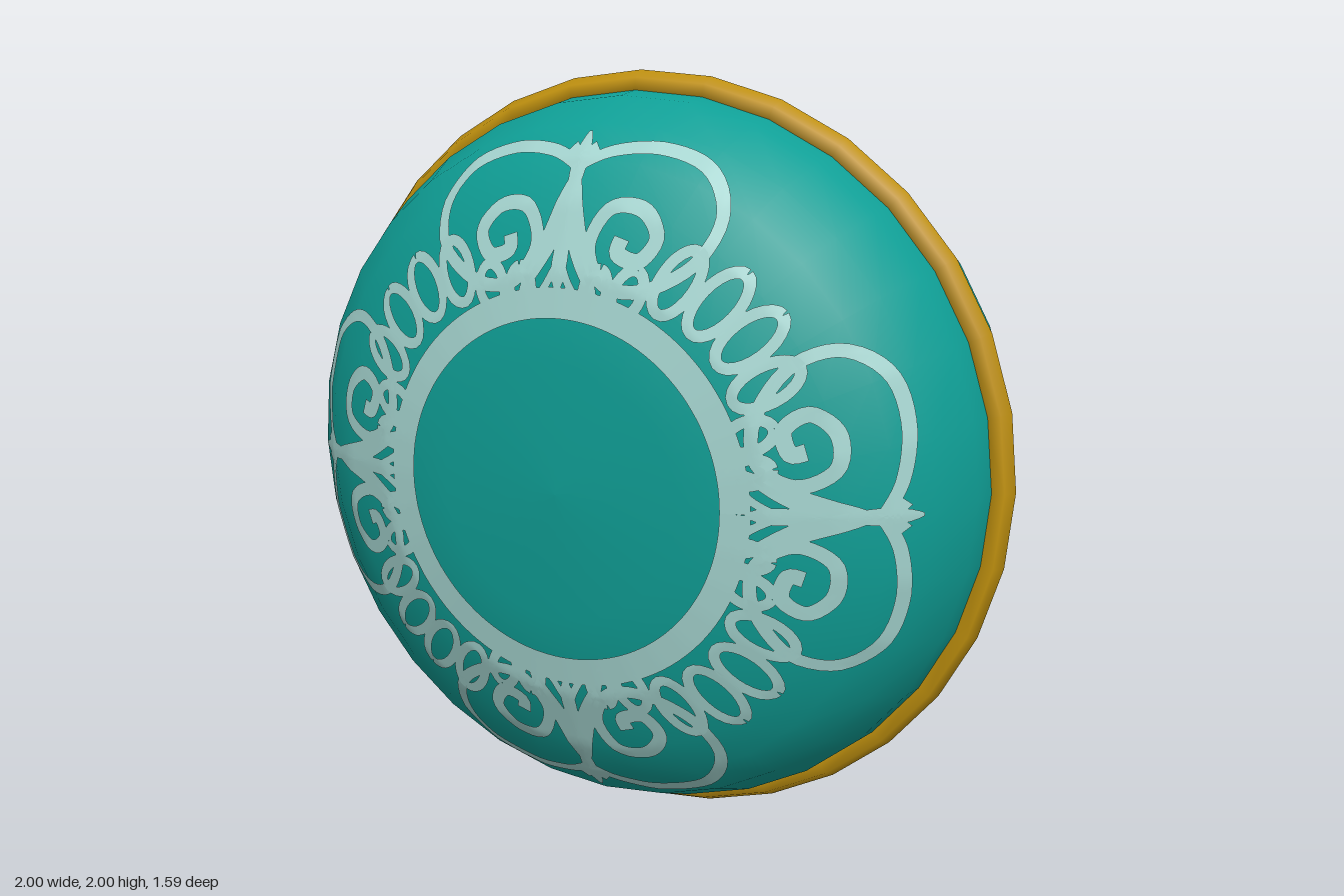
import * as THREE from 'three';
import { mergeGeometries, toCreasedNormals } from 'three/addons/utils/BufferGeometryUtils.js';

const SIDES = 32;
const STEP = (Math.PI * 2) / SIDES;
const rad = THREE.MathUtils.degToRad;

// body profile halves: [radius, z], from the axis out to the rim
const FRONT = [[0, 0.79], [0.32, 0.78], [0.53, 0.745], [0.69, 0.685], [0.79, 0.625], [0.87, 0.555], [0.935, 0.42], [0.955, 0.31]];
const BACK = [[0, -0.34], [0.32, -0.335], [0.5, -0.305], [0.64, -0.26], [0.75, -0.2], [0.84, -0.13], [0.92, 0], [0.945, 0.2], [0.955, 0.31]];

const material = (name, color) => {
  const m = new THREE.MeshStandardMaterial({ color });
  m.name = name;
  return m;
};

function addMesh(parent, name, geometry, mat) {
  const mesh = new THREE.Mesh(geometry, mat);
  mesh.name = name;
  parent.add(mesh);
  return mesh;
}

// height of the faceted body surface over a point
function surfaceZ(x, y, profile) {
  const a = Math.atan2(y, x) + Math.PI * 2;
  const r = (Math.hypot(x, y) * Math.cos((a % STEP) - STEP / 2)) / Math.cos(STEP / 2);
  let i = 1;
  while (i < profile.length - 1 && profile[i][0] < r) i++;
  const [r0, z0] = profile[i - 1], [r1, z1] = profile[i];
  return z0 + ((z1 - z0) * (r - r0)) / (r1 - r0);
}

// band following a flat curve, laid onto the body
function ribbon(points, width, profile, place, across = 3) {
  const lift = profile === FRONT ? 0.006 : -0.006;
  const pos = [], index = [], n = points.length;
  points.forEach((p, i) => {
    const a = points[Math.max(i - 1, 0)], b = points[Math.min(i + 1, n - 1)];
    const l = Math.hypot(b.x - a.x, b.y - a.y) || 1;
    const w = typeof width === 'function' ? width(i / (n - 1)) : width;
    for (let j = 0; j <= across; j++) {
      const s = w * (j / across - 0.5);
      const [x, y] = place(p.x - ((b.y - a.y) / l) * s, p.y + ((b.x - a.x) / l) * s);
      pos.push(x, y, surfaceZ(x, y, profile) + lift);
      if (i < n - 1 && j < across) {
        const k = i * (across + 1) + j, m = k + across + 1;
        index.push(k, m, k + 1, k + 1, m, m + 1);
      }
    }
  });
  const g = new THREE.BufferGeometry();
  g.setAttribute('position', new THREE.Float32BufferAttribute(pos, 3));
  g.setIndex(index);
  g.computeVertexNormals();
  return g;
}

const curve = (pts, n) => new THREE.SplineCurve(pts.map(([x, y]) => new THREE.Vector2(x, y))).getPoints(n);
const arc = (cx, cy, rx, ry, turn, n) =>
  new THREE.EllipseCurve(cx, cy, rx, ry, 0, Math.PI * 2, false, turn).getPoints(n);

// lace wreath: one half motif, mirrored and turned four times
function laceGeometry(profile) {
  const scroll = curve([[0, 0.77], [0.08, 0.805], [0.2, 0.81], [0.32, 0.765], [0.375, 0.665], [0.335, 0.56], [0.22, 0.495],
    [0.12, 0.505], [0.07, 0.59], [0.11, 0.675], [0.19, 0.675], [0.235, 0.615], [0.2, 0.56], [0.145, 0.575], [0.15, 0.61]], 72);
  const petal = curve([[0.005, 0.75], [0.03, 0.62], [0.1, 0.47]], 14);
  const vein = curve([[0, 0.56], [0.03, 0.5], [0.06, 0.46]], 8);
  const spike = curve([[0, 0.85], [0, 0.48]], 20);
  const finial = curve([[0, 0.785], [0.035, 0.815]], 5);
  // loops: degrees from the motif axis, radius, radial and tangential half sizes
  const loops = [[40, 0.615, 0.085, 0.045], [30, 0.595, 0.08, 0.042], [20.5, 0.52, 0.055, 0.035], [11.5, 0.5, 0.05, 0.03]]
    .map(([deg, r, a, b]) => {
      const t = rad(90 - deg);
      return arc(r * Math.cos(t), r * Math.sin(t), a, b, t, 24);
    });
  const parts = [ribbon(arc(0, 0, 0.458, 0.458, 0, 128), 0.072, profile, (x, y) => [x, y], 4)];
  for (let q = 0; q < 4; q++) {
    const c = Math.round(Math.cos(q * Math.PI / 2)), s = Math.round(Math.sin(q * Math.PI / 2));
    for (const m of [1, -1]) {
      const place = (x, y) => [c * m * x - s * y, s * m * x + c * y];
      const add = (pts, w) => parts.push(ribbon(pts, w, profile, place));
      add(scroll, t => 0.028 + 0.012 * t);
      add(petal, t => 0.012 + 0.04 * Math.sin(Math.PI * t));
      add(vein, 0.02);
      add(finial, 0.03);
      loops.forEach(l => add(l, 0.028));
      if (m === 1) add(spike, t => 0.008 + 0.034 * Math.abs(Math.sin(Math.PI * 2 * t)));
    }
  }
  return mergeGeometries(parts);
}

// one sixth of the crown: band section narrowing into a curved prong
function prongGeometry() {
  // radius, z, half angle in degrees
  const rows = [[0.278, -0.325, 30], [0.272, -0.4, 30], [0.282, -0.455, 30], [0.29, -0.47, 24], [0.305, -0.495, 18],
    [0.325, -0.54, 13], [0.375, -0.61, 9.5], [0.43, -0.67, 7], [0.495, -0.735, 5]];
  const K = 6, N = 2 * (K + 1), pos = [], index = [];
  rows.forEach(([r, z, half], i) => {
    for (let j = 0; j < N; j++) {
      const inner = j > K;
      const t = rad(half) * (((inner ? N - 1 - j : j) / K) * 2 - 1);
      // valleys between prongs flare outward
      const flare = i === 2 ? 0.028 * Math.pow(Math.abs(t) / rad(30), 2) : 0;
      const rr = r + flare - (inner ? 0.026 : 0);
      pos.push(rr * Math.cos(t), rr * Math.sin(t), z - (inner && i > 4 ? 0.012 : 0));
      if (i < rows.length - 1) {
        const a = i * N + j, b = i * N + ((j + 1) % N);
        index.push(a, a + N, b, b, a + N, b + N);
      }
    }
  });
  const end = (rows.length - 1) * N;
  for (let j = 1; j < N - 1; j++) index.push(end, end + j + 1, end + j);
  const g = new THREE.BufferGeometry();
  g.setAttribute('position', new THREE.Float32BufferAttribute(pos, 3));
  g.setIndex(index);
  return toCreasedNormals(g, 0.6);
}

export function createModel() {
  const teal = material('teal', 0x0f9f96);
  const lace = material('pale lace', 0xa6d6d1);
  const gold = material('gold', 0xc4940f);
  const crownGold = material('crown gold', 0xb98d10);
  const tipGold = material('bright gold', 0xd2b410);
  const glass = material('pale glass', 0xa3cccc);
  lace.side = crownGold.side = THREE.DoubleSide;

  const model = new THREE.Group();
  model.name = 'ornament';
  model.position.y = 1;

  // rounded body with its axis along z
  const profile = [...BACK, ...FRONT.slice(0, -1).reverse()].map(([r, z]) => new THREE.Vector2(r, z));
  addMesh(model, 'body', new THREE.LatheGeometry(profile, SIDES).rotateX(Math.PI / 2), teal);

  // rim band
  addMesh(model, 'rimRing', new THREE.TorusGeometry(0.96, 0.04, 6, SIDES), gold).position.z = 0.31;

  // lace on both faces
  addMesh(model, 'frontLace', laceGeometry(FRONT), lace);
  addMesh(model, 'backLace', laceGeometry(BACK), lace);

  // crown with six prongs and pointed gems
  const crown = new THREE.Group();
  crown.name = 'crown';
  model.add(crown);
  const prong = prongGeometry();
  const gem = new THREE.LatheGeometry([[0, -0.045], [0.05, 0], [0, 0.08]].map(p => new THREE.Vector2(...p)), 4).toNonIndexed();
  gem.computeVertexNormals();
  for (let i = 0; i < 6; i++) {
    const arm = new THREE.Group();
    arm.name = 'crownArm';
    arm.rotation.z = (i * Math.PI) / 3;
    crown.add(arm);
    addMesh(arm, 'prong', prong, crownGold);
    const tip = addMesh(arm, 'prongGem', gem, tipGold);
    tip.position.set(0.515, 0, -0.752);
    tip.quaternion.setFromUnitVectors(new THREE.Vector3(0, 1, 0), new THREE.Vector3(0.78, 0, -0.62).normalize());
  }

  // sloped collar and disc inside the crown
  const collar = [[0.19, -0.345], [0.26, -0.385]].map(([r, z]) => new THREE.Vector2(r, z));
  addMesh(crown, 'innerCollar', new THREE.LatheGeometry(collar, SIDES).rotateX(Math.PI / 2), crownGold);
  addMesh(crown, 'innerDisc', new THREE.CircleGeometry(0.2, SIDES).rotateY(Math.PI), glass).position.z = -0.347;

  return model;
}
